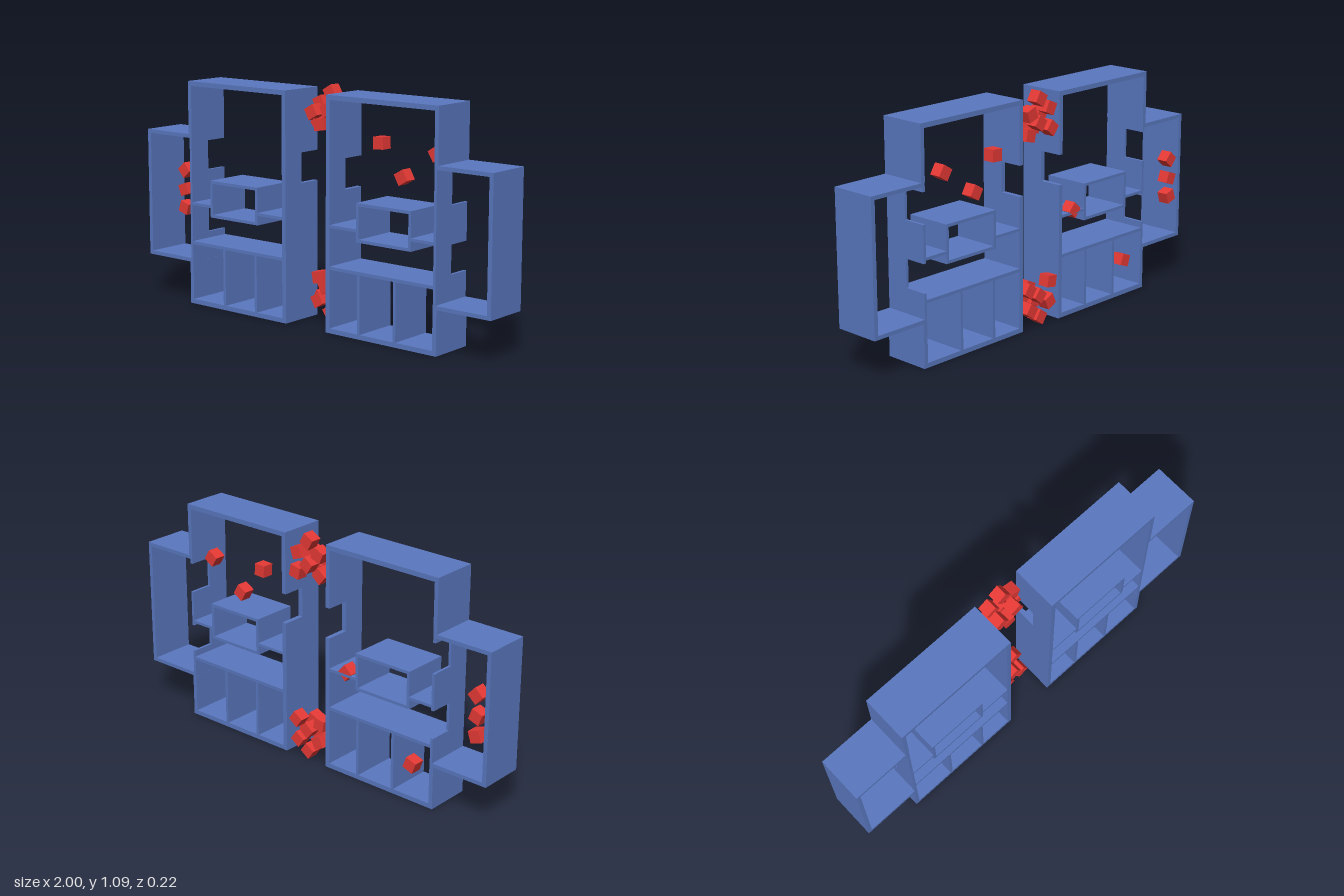
import * as THREE from 'three';

const D = 0.11; // half depth
const blue = new THREE.MeshStandardMaterial({ color: 0x5a78c0 });
const red = new THREE.MeshStandardMaterial({ color: 0xe53935 });

// Full-depth block between two x and two y values; side mirrors it in x.
function block(parent, side, name, x0, x1, y0, y1) {
  const m = new THREE.Mesh(new THREE.BoxGeometry(x1 - x0, y1 - y0, 2 * D), blue);
  m.position.set(side * (x0 + x1) / 2, (y0 + y1) / 2, 0);
  m.name = name;
  parent.add(m);
}

// Upright wall whose back half is cut away at each [bottom, top] doorway.
function notchedWall(parent, side, name, x0, x1, y0, y1, notches) {
  const s = new THREE.Shape();
  s.moveTo(D, y1);
  s.lineTo(D, y0);
  s.lineTo(-D, y0);
  for (const [a, b] of notches) {
    s.lineTo(-D, a);
    s.lineTo(0, a);
    s.lineTo(0, b);
    s.lineTo(-D, b);
  }
  s.lineTo(-D, y1);
  const g = new THREE.ExtrudeGeometry(s, { depth: x1 - x0, bevelEnabled: false });
  g.rotateY(-Math.PI / 2);
  g.translate(side > 0 ? x1 : -x0, 0, 0);
  const m = new THREE.Mesh(g, blue);
  m.name = name;
  parent.add(m);
}

function house(side) {
  const g = new THREE.Group();
  g.name = side > 0 ? 'leftHouse' : 'rightHouse';
  const add = (...a) => block(g, side, ...a);
  const upper = [0.64, 0.78], lower = [0.34, 0.47];

  // main frame
  add('roof', 0.118, 0.725, 1.048, 1.07);
  add('base', 0.118, 0.725, 0.005, 0.027);
  notchedWall(g, side, 'innerWall', 0.118, 0.14, 0.027, 1.048, [upper]);
  add('outerWallTop', 0.705, 0.725, 0.82, 1.048);
  add('outerWallBottom', 0.705, 0.725, 0.027, 0.207);
  notchedWall(g, side, 'partitionWall', 0.706, 0.719, 0.207, 0.82, [lower, upper]);

  // side room
  add('sideRoof', 0.719, 1, 0.802, 0.82);
  add('sideFloor', 0.719, 1, 0.207, 0.225);
  add('sideWall', 0.98, 1, 0.225, 0.802);

  // floors and lower dividers
  add('floor', 0.14, 0.706, 0.294, 0.309);
  add('balcony', 0.14, 0.29, 0.483, 0.496);
  add('balcony', 0.587, 0.706, 0.483, 0.496);
  for (const x of [0.304, 0.502]) add('divider', x - 0.007, x + 0.007, 0.027, 0.294);

  // central box
  add('boxTop', 0.29, 0.587, 0.599, 0.613);
  add('boxBottom', 0.29, 0.587, 0.438, 0.452);
  add('boxSide', 0.29, 0.304, 0.452, 0.599);
  add('boxSide', 0.573, 0.587, 0.452, 0.599);
  return g;
}

// x, y, turn in degrees, and 1 for the front layer
const CUBES = [
  // upper cluster
  [-0.065, 1.005, 25], [-0.003, 1.055, 30], [0.055, 0.992, -20], [-0.075, 0.912, 40],
  [0, 0.945, 35], [0.065, 0.9, 12], [-0.065, 0.967, 30, 1], [0.022, 0.983, 20, 1], [-0.02, 0.915, 8, 1],
  // lower cluster
  [-0.075, 0.197, 10], [0.066, 0.182, 35], [0, 0.145, 40], [-0.065, 0.103, -25],
  [0.055, 0.085, 35], [-0.005, 0.044, 35], [0.012, 0.175, 25, 1], [-0.03, 0.107, 30, 1], [0.055, 0.125, 25, 1],
  // inside the houses
  [0.277, 0.853, 3], [0.403, 0.714, 30], [0.585, 0.836, 32], [-0.228, 0.5, 42], [-0.595, 0.172, 20],
  [-0.928, 0.605, 42], [-0.932, 0.51, 20], [-0.932, 0.419, -18],
];

export function createModel() {
  const model = new THREE.Group();
  model.name = 'twinHouses';
  model.add(house(1), house(-1));

  const cubes = new THREE.Group();
  cubes.name = 'looseCubes';
  const geo = new THREE.BoxGeometry(0.055, 0.055, 0.055);
  for (const [x, y, deg, front] of CUBES) {
    const c = new THREE.Mesh(geo, red);
    c.name = 'cube';
    c.position.set(x, y, front ? -0.0275 : -0.0825);
    c.rotation.z = THREE.MathUtils.degToRad(deg);
    cubes.add(c);
  }
  model.add(cubes);
  return model;
}
